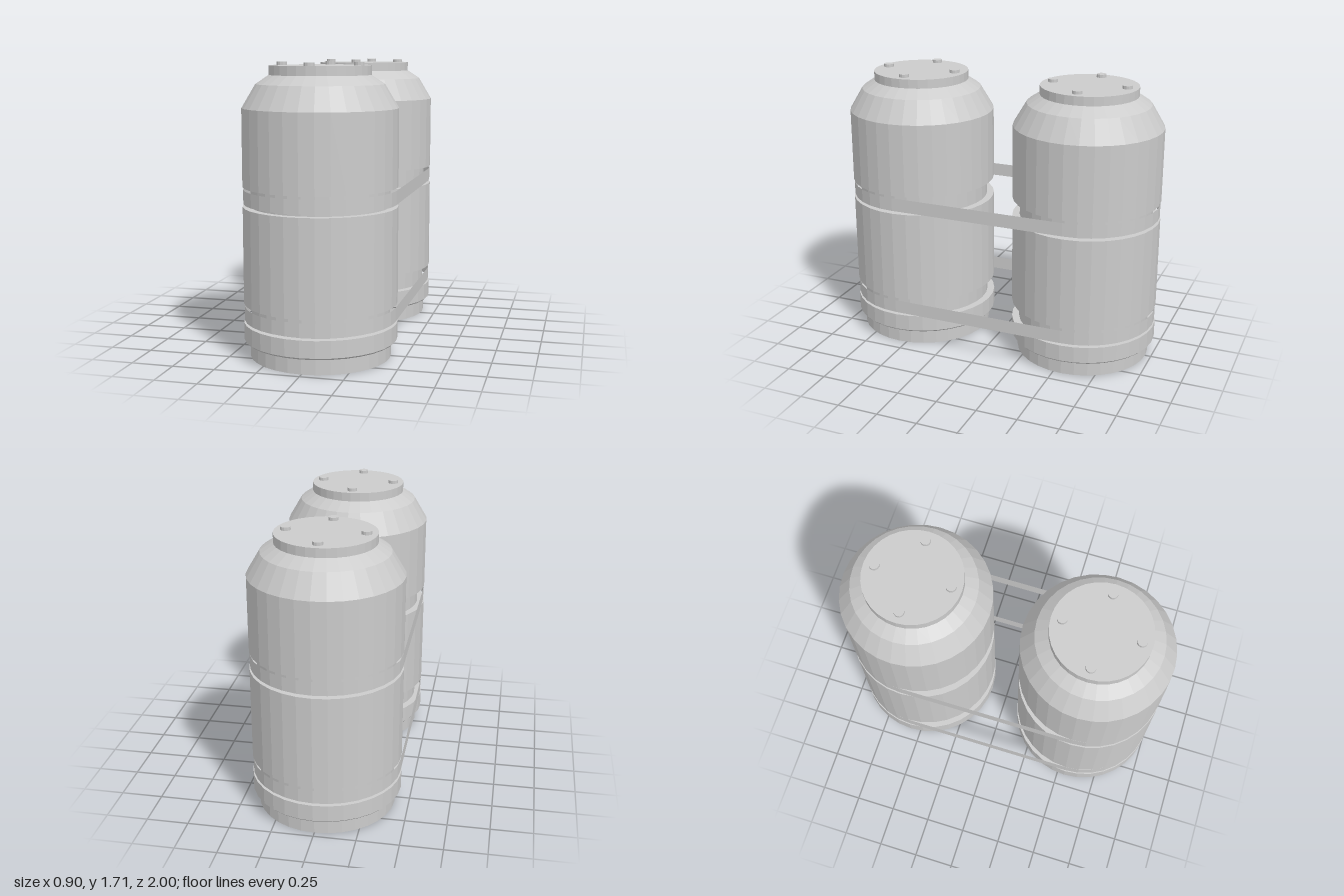
import * as THREE from 'three';

const SIDES = 32;
const SPACING = 0.55; // distance of each tank axis from the centre
const material = new THREE.MeshStandardMaterial({ color: 0xcccccc, flatShading: true });
const strapMaterial = new THREE.MeshStandardMaterial({
  color: 0xcccccc, flatShading: true, side: THREE.DoubleSide,
});

function addMesh(parent, name, geometry, x = 0, y = 0, z = 0, mat = material) {
  const mesh = new THREE.Mesh(geometry, mat);
  mesh.name = name;
  mesh.position.set(x, y, z);
  parent.add(mesh);
  return mesh;
}

// Turned body with a recessed foot, two strap grooves and a domed shoulder
function createTank(name) {
  const tank = new THREE.Group();
  tank.name = name;
  const profile = [
    [0, 0], [0.413, 0], [0.413, 0.095], [0.44, 0.095], [0.45, 0.105],
    [0.45, 0.205], [0.405, 0.205], [0.405, 0.32], [0.45, 0.32],
    [0.45, 0.885], [0.405, 0.885], [0.405, 1.0], [0.45, 1.0],
    [0.45, 1.45], [0.37, 1.585], [0.29, 1.638], [0, 1.638],
  ].map(([r, y]) => new THREE.Vector2(r, y));
  addMesh(tank, 'body', new THREE.LatheGeometry(profile, SIDES));

  // Lid with four bolts
  addMesh(tank, 'lid', new THREE.CylinderGeometry(0.293, 0.293, 0.055, SIDES), 0, 1.6625, 0);
  for (let i = 0; i < 4; i++) {
    const a = (i * Math.PI) / 2;
    addMesh(tank, 'bolt', new THREE.CylinderGeometry(0.03, 0.03, 0.02, 12),
      0.228 * Math.sin(a), 1.699, 0.228 * Math.cos(a));
  }
  return tank;
}

// Thin band running round both tanks: two half circles joined by straight runs
function createStrapGeometry(radius, height) {
  const positions = [];
  const index = [];
  const half = SIDES / 2;
  const count = 2 * (half + 1);
  for (let end = 0; end < 2; end++) {
    for (let i = 0; i <= half; i++) {
      const a = Math.PI * (end + i / half);
      const x = radius * Math.cos(a);
      const z = radius * Math.sin(a) + (end ? -SPACING : SPACING);
      positions.push(x, 0, z, x, height, z);
    }
  }
  for (let i = 0; i < count; i++) {
    const a = 2 * i;
    const b = 2 * ((i + 1) % count);
    index.push(a, a + 1, b, b, a + 1, b + 1);
  }
  const geometry = new THREE.BufferGeometry();
  geometry.setAttribute('position', new THREE.Float32BufferAttribute(positions, 3));
  geometry.setIndex(index);
  geometry.computeVertexNormals();
  return geometry;
}

export function createModel() {
  const model = new THREE.Group();
  model.name = 'strappedTanks';

  for (const side of [1, -1]) {
    const tank = createTank(side > 0 ? 'frontTank' : 'backTank');
    tank.position.z = side * SPACING;
    model.add(tank);
  }

  // Lower and upper straps sit in the grooves
  const strap = createStrapGeometry(0.446, 0.082);
  addMesh(model, 'lowerStrap', strap, 0, 0.219, 0, strapMaterial);
  addMesh(model, 'upperStrap', strap, 0, 0.902, 0, strapMaterial);
  return model;
}
